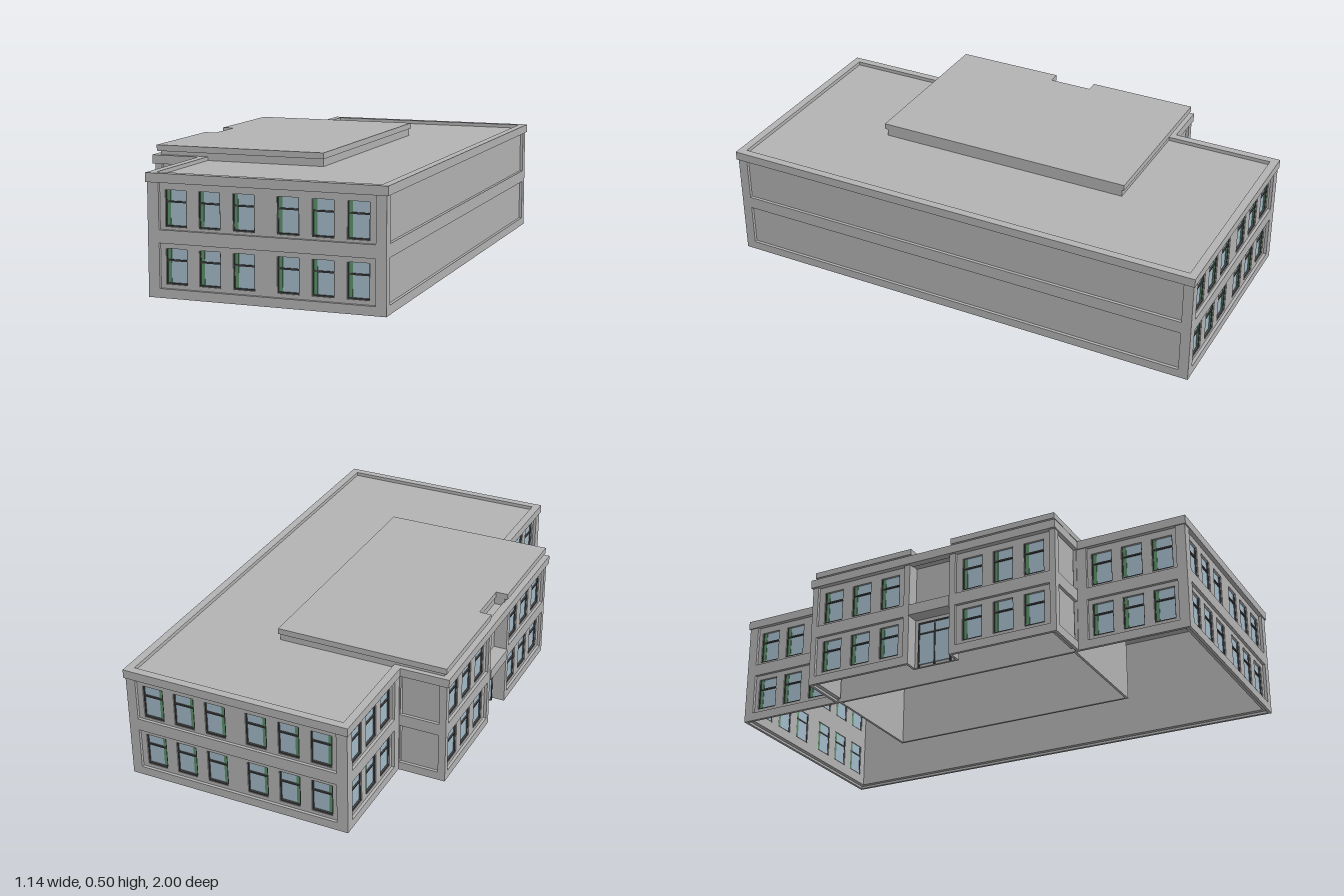
import * as THREE from 'three';

const mat = (name, color) => Object.assign(new THREE.MeshStandardMaterial({ color }), { name });

export function createModel() {
  const concrete = mat('concrete', 0xb4b4b4);
  const glass = mat('glass', 0xa4bccb);
  const curtainGreen = mat('curtain green', 0x5b9169);
  const frameDark = mat('frame dark', 0x454545);

  const model = new THREE.Group();
  model.name = 'building';

  const add = (parent, name, geometry, material) => {
    const mesh = new THREE.Mesh(geometry, material);
    mesh.name = name;
    parent.add(mesh);
    return mesh;
  };
  const box = (parent, name, x0, x1, y0, y1, z0, z1, material) =>
    add(parent, name, new THREE.BoxGeometry(x1 - x0, y1 - y0, z1 - z0), material)
      .position.set((x0 + x1) / 2, (y0 + y1) / 2, (z0 + z1) / 2);
  const rect = (x0, x1, y0, y1) => [[x0, y0], [x1, y0], [x1, y1], [x0, y1]];
  const extrude = (points, holes, depth) => {
    const vectors = (list) => list.map(([x, y]) => new THREE.Vector2(x, y));
    const shape = new THREE.Shape(vectors(points));
    holes.forEach((hole) => shape.holes.push(new THREE.Path(vectors(hole))));
    return new THREE.ExtrudeGeometry(shape, { depth, bevelEnabled: false });
  };
  // Horizontal plate drawn in plan (x, z) between two heights
  const plate = (name, points, holes, y0, y1) => {
    const geometry = extrude(points, holes, y1 - y0);
    geometry.rotateX(Math.PI / 2).translate(0, y1, 0);
    add(model, name, geometry, concrete);
  };

  const FLOORS = [
    { panel: [0.035, 0.205], window: [0.05, 0.185] },
    { panel: [0.255, 0.43], window: [0.265, 0.403] },
  ];
  const HALF = 0.043;

  // Glazing with side, sill and transom bars and a curtain strip at one edge
  function addWindow(wall, u, [y0, y1], side) {
    const w = new THREE.Group();
    w.name = 'window';
    wall.add(w);
    box(w, 'pane', u - HALF, u + HALF, y0, y1, -0.026, -0.022, glass);
    const c0 = u + side * HALF;
    const c1 = c0 - side * 0.018;
    box(w, 'curtain', Math.min(c0, c1), Math.max(c0, c1), y0, y1, -0.027, -0.02, curtainGreen);
    const t = y1 - 0.044;
    box(w, 'transom', u - HALF, u + HALF, t - 0.003, t + 0.003, -0.028, -0.016, frameDark);
    box(w, 'sill', u - HALF, u + HALF, y0, y0 + 0.006, -0.028, -0.014, frameDark);
    for (const s of [-1, 1]) {
      const e = u + s * (HALF - 0.002);
      box(w, 'jamb', e - 0.002, e + 0.002, y0, y1, -0.028, -0.016, frameDark);
    }
  }

  // Wall facing local +z: raised frame, recessed panels, windows on both floors
  function addWall(name, angle, offset, [u0, u1], [p0, p1], centers = [], side = -1) {
    const wall = new THREE.Group();
    wall.name = name;
    const openings = FLOORS.map((f) => rect(p0, p1, ...f.panel));
    add(wall, 'wallFrame', extrude(rect(u0, u1, 0, 0.45), openings, 0.012), concrete).position.z = -0.012;
    const holes = centers.flatMap((u) => FLOORS.map((f) => rect(u - HALF, u + HALF, ...f.window)));
    add(wall, 'wallPanel', extrude(rect(u0 + 0.012, u1 - 0.012, 0.01, 0.45), holes, 0.018), concrete).position.z = -0.03;
    centers.forEach((u) => FLOORS.forEach((f) => addWindow(wall, u, f.window, side)));
    wall.rotation.y = angle;
    wall.position.set(Math.sin(angle) * offset, 0, Math.cos(angle) * offset);
    model.add(wall);
  }

  // End walls and the plain long wall
  const ends = [-0.255, -0.121, 0.014, 0.186, 0.32, 0.453];
  addWall('frontWall', 0, 0.995, [-0.365, 0.56], [-0.32, 0.52], ends, -1);
  addWall('backWall', Math.PI, 0.995, [-0.56, 0.365], [-0.52, 0.32], ends.map((x) => -x), 1);
  addWall('longWall', Math.PI / 2, 0.56, [-0.995, 0.995], [-0.955, 0.955]);

  // Walls on the wing side, repeated at both ends
  for (const s of [-1, 1]) {
    const span = (a, b) => [s * a, s * b].sort((m, n) => m - n);
    addWall('sideWall', -Math.PI / 2, 0.365, span(0.53, 0.995), span(0.585, 0.955),
      [0.645, 0.77, 0.895].map((z) => s * z));
    addWall('wingWall', -Math.PI / 2, 0.56, span(0.09, 0.545), span(0.115, 0.52),
      [0.185, 0.318, 0.45].map((z) => s * z));
    addWall('wingEnd', s > 0 ? 0 : Math.PI, 0.545, s > 0 ? [-0.56, -0.36] : [0.36, 0.56],
      s > 0 ? [-0.53, -0.368] : [0.368, 0.53]);
    // Cheek of the entrance recess
    const [z0, z1] = span(0.09, 0.1);
    box(model, 'entranceCheek', -0.555, -0.495, 0, 0.45, z0, z1, concrete);
  }

  // Recessed entrance with canopy and glazed doors
  box(model, 'entranceWall', -0.505, -0.495, 0, 0.45, -0.09, 0.09, concrete);
  box(model, 'canopy', -0.565, -0.505, 0.205, 0.25, -0.09, 0.09, concrete);
  box(model, 'doorGlass', -0.51, -0.505, 0.01, 0.185, -0.07, 0.07, glass);
  for (const z of [-0.07, 0, 0.07])
    box(model, 'doorPost', -0.513, -0.505, 0, 0.188, z - 0.003, z + 0.003, frameDark);
  for (const y of [0.14, 0.185])
    box(model, 'doorRail', -0.513, -0.505, y - 0.003, y + 0.003, -0.07, 0.07, frameDark);

  // Plan outline of main block plus wing, shrunk by d
  const outline = (d) => [
    [0.567 - d, -1 + d], [0.567 - d, 1 - d], [-0.37 + d, 1 - d], [-0.37 + d, 0.55 - d],
    [-0.57 + d, 0.55 - d], [-0.57 + d, -0.55 + d], [-0.37 + d, -0.55 + d], [-0.37 + d, -1 + d],
  ];
  plate('parapet', outline(0), [outline(0.032)], 0.43, 0.465);
  plate('roofDeck', outline(0.02), [], 0.435, 0.45);

  // Hollow core and the notched upper roof
  plate('core', rect(-0.36, 0.145, -0.53, 0.53), [rect(-0.35, 0.135, -0.52, 0.52)], 0, 0.44);
  const notched = (x0, x1, z, n) => [
    [x0, -z], [x1, -z], [x1, z], [x0, z], [x0, 0.09], [n, 0.09], [n, -0.09], [x0, -0.09],
  ];
  plate('upperRoofBase', notched(-0.542, 0.148, 0.53, -0.5), [], 0.445, 0.48);
  plate('upperRoof', notched(-0.555, 0.152, 0.54, -0.505), [], 0.48, 0.504);

  return model;
}
